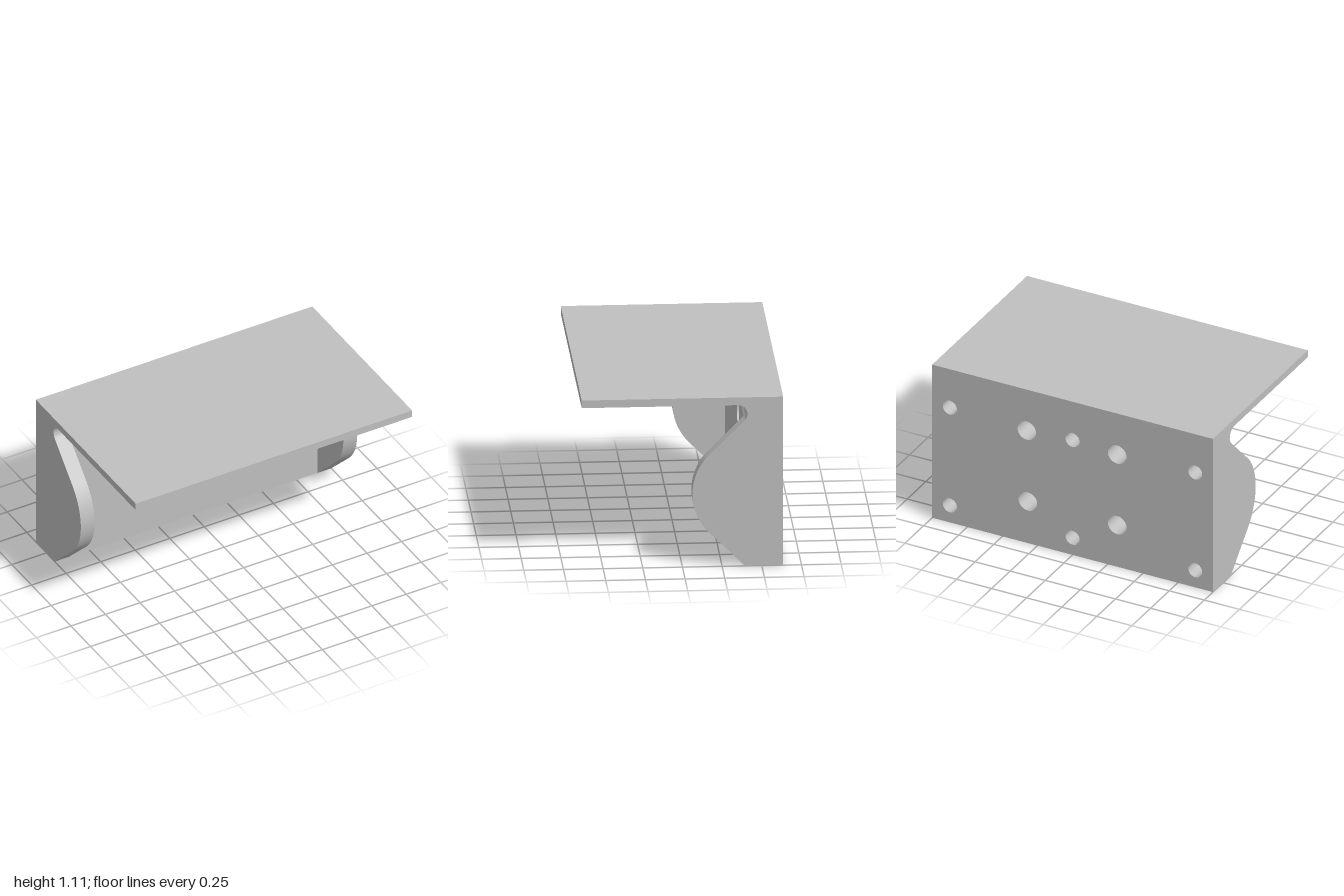
import * as THREE from 'three';
import { toCreasedNormals } from 'three/addons/utils/BufferGeometryUtils.js';

const BACK = 0.635, FRONT = 0.394, LEDGE = 0.48; // depths behind the centre
const TOP = 1.11, UNDER = 1.06, GUSSET = 0.9;

// Drawing planes: 2D shapes are drawn in (u, v) and pushed along the outward w axis
const planes = {
  front: g => g,                       // u = x,  v = y, w = z
  back: g => g.rotateY(Math.PI),       // u = -x, v = y, w = -z
  side: g => g.rotateY(Math.PI / 2),   // u = -z, v = y, w = x
  bottom: g => g.rotateX(Math.PI / 2), // u = x,  v = z, w = -y
};

const P = (x, y) => new THREE.Vector2(x, y);

function arc(cx, cy, r, from, to, n) {
  return Array.from({ length: n + 1 }, (_, i) => {
    const a = from + (to - from) * i / n;
    return P(cx + r * Math.cos(a), cy + r * Math.sin(a));
  });
}

// Clockwise, so walls swept from it face inwards
const circle = (x, y, r) => arc(x, y, r, 0, -Math.PI * 2, 40);
const rect = (u0, v0, u1, v1) => [P(u0, v0), P(u1, v0), P(u1, v1), P(u0, v1)];

// Flat face with holes
function face(outline, holes, w) {
  const shape = new THREE.Shape(outline);
  shape.holes = holes.map(h => new THREE.Path(h));
  return new THREE.ShapeGeometry(shape).translate(0, 0, w);
}

// Strip swept straight along w from a path
function sweep(path, w0, w1) {
  const pos = [];
  for (let i = 0; i < path.length - 1; i++) {
    const a = path[i], b = path[i + 1];
    pos.push(a.x, a.y, w0, b.x, b.y, w0, b.x, b.y, w1);
    pos.push(a.x, a.y, w0, b.x, b.y, w1, a.x, a.y, w1);
  }
  const g = new THREE.BufferGeometry();
  g.setAttribute('position', new THREE.Float32BufferAttribute(pos, 3));
  return toCreasedNormals(g, 0.5);
}

export function createModel() {
  const model = new THREE.Group();
  model.name = 'shelfBracket';
  const grey = new THREE.MeshStandardMaterial({ color: 0xbfbfbf });
  grey.name = 'plain grey';

  const add = (name, plane, geometry, parent = model) => {
    const mesh = new THREE.Mesh(planes[plane](geometry), grey);
    mesh.name = name;
    parent.add(mesh);
  };

  // Side profile: fillet under the shelf, then the bulging gusset edge
  const fillet = arc(0.35, 1.0, 0.06, Math.PI / 2, -Math.PI / 4, 20);
  const neck = fillet[fillet.length - 1];
  const bulge = arc(0.423, 0.48, 0.36, Math.PI * 0.75, Math.PI * 1.25, 28);
  const gussetEdge = [neck, ...bulge, P(FRONT, 0)];
  const shelfEdge = [P(BACK, TOP), P(-BACK, TOP), P(-BACK, UNDER), ...fillet];

  add('shelf', 'side', sweep(shelfEdge, -1, 1));

  // Side cheeks; the inner face belongs to the opposite gusset and is completed by mirroring
  for (const s of [1, -1]) {
    const cheek = new THREE.Group();
    cheek.name = s > 0 ? 'leftCheek' : 'rightCheek';
    add('outerFace', 'side', face([P(BACK, 0), ...shelfEdge, ...gussetEdge.slice(1)], [], 1), cheek);
    add('gussetEdge', 'side', sweep(gussetEdge, GUSSET, 1), cheek);
    add('innerFace', 'side', face(gussetEdge, [], -GUSSET), cheek);
    cheek.scale.x = s;
    model.add(cheek);
  }

  // Counterbored through holes and small blind holes, as [x, y]
  const bolts = [[-0.318, 0.813], [0.326, 0.813], [-0.318, 0.302], [0.318, 0.302]];
  const pins = [-0.874, 0, 0.874].flatMap(x => [[x, 0.832], [x, 0.124]]);
  const boltR = 0.066, boreR = 0.103, pinR = 0.05;

  add('wallFront', 'front', face(rect(-GUSSET, 0, GUSSET, neck.y),
    bolts.map(([x, y]) => circle(x, y, boreR)), -FRONT));
  add('wallBack', 'back', face(rect(-1, 0, 1, TOP), [
    ...bolts.map(([x, y]) => circle(-x, y, boltR)),
    ...pins.map(([x, y]) => circle(-x, y, pinR)),
  ], BACK));

  for (const [x, y] of bolts) {
    add('counterbore', 'front', sweep(circle(x, y, boreR), -LEDGE, -FRONT));
    add('counterboreLedge', 'front', face(circle(x, y, boreR), [circle(x, y, boltR)], -LEDGE));
    add('boltHole', 'front', sweep(circle(x, y, boltR), -BACK, -LEDGE));
  }
  for (const [x, y] of pins) {
    add('pinHole', 'back', sweep(circle(-x, y, pinR), LEDGE, BACK));
    add('pinHoleFloor', 'back', face(circle(-x, y, pinR), [], LEDGE));
  }

  // Underside of the wall with two rectangular pockets
  const depth = 0.6;
  const pockets = [-0.63, 0.63].map(x => rect(x - 0.16, -0.59, x + 0.16, -0.45).reverse());
  add('wallBottom', 'bottom', face(rect(-1, -BACK, 1, -FRONT), pockets, 0));
  for (const p of pockets) {
    add('pocketWalls', 'bottom', sweep([...p, p[0]], -depth, 0));
    add('pocketFloor', 'bottom', face(p, [], -depth));
  }
  return model;
}
